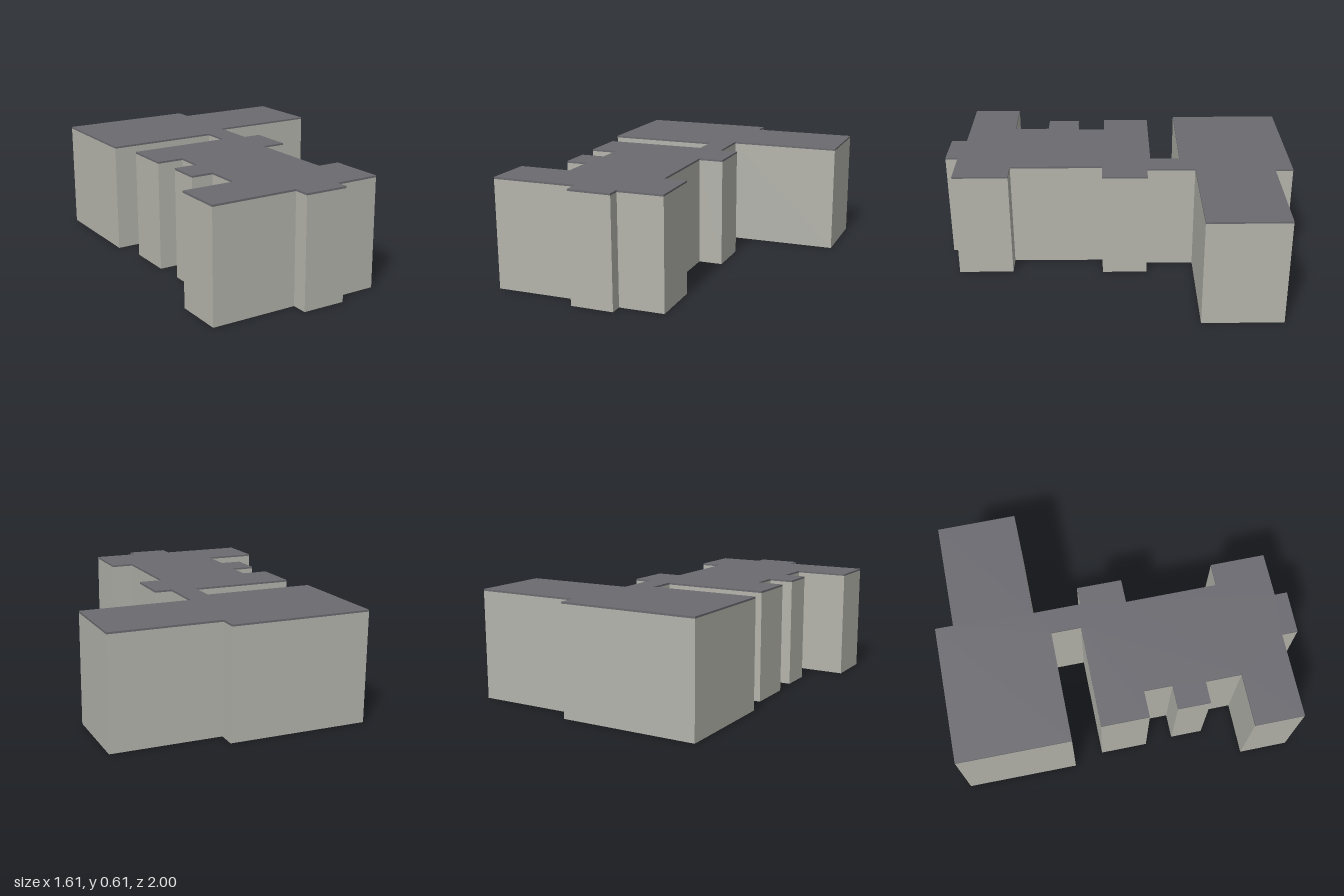
import * as THREE from 'three';

// Building footprint as [x, z] corners, starting at the back left wing
const FOOTPRINT = [
  // rear wing
  [-0.56, -1.0], [0.208, -0.945], [0.2, -0.845], [0.8, -0.803], [0.77, -0.36], [0.155, -0.402],
  // link and +x side of the long wing
  [0.136, -0.134], [0.235, -0.127], [0.216, 0.125], [0.081, 0.116], [0.045, 0.631], [0.17, 0.64],
  // front end with its porch
  [0.149, 0.947], [-0.099, 0.93], [-0.104, 1.0], [-0.34, 0.98], [-0.334, 0.892], [-0.805, 0.858],
  // -x side with bays
  [-0.786, 0.585], [-0.495, 0.605], [-0.481, 0.405], [-0.602, 0.396], [-0.589, 0.216], [-0.455, 0.225],
  [-0.443, 0.068], [-0.591, 0.058], [-0.572, -0.207], [0.002, -0.166], [0.014, -0.332], [-0.606, -0.376],
];

const HEIGHT = 0.61;
const ROOF = 0.01;

// Upright prism over the footprint, from height y0 to y1
function prism(name, y0, y1, material) {
  const shape = new THREE.Shape(FOOTPRINT.map(([x, z]) => new THREE.Vector2(x, -z)));
  const geometry = new THREE.ExtrudeGeometry(shape, { depth: y1 - y0, bevelEnabled: false });
  geometry.rotateX(-Math.PI / 2);
  geometry.translate(0, y0, 0);
  const mesh = new THREE.Mesh(geometry, material);
  mesh.name = name;
  return mesh;
}

export function createModel() {
  const wall = new THREE.MeshStandardMaterial({ color: 0xb4b4ac });
  wall.name = 'wall grey';
  const roof = new THREE.MeshStandardMaterial({ color: 0x6b6a70 });
  roof.name = 'roof grey';

  const group = new THREE.Group();
  group.name = 'building';
  group.add(prism('walls', 0, HEIGHT - ROOF, wall));
  group.add(prism('flatRoof', HEIGHT - ROOF, HEIGHT, roof));
  return group;
}
